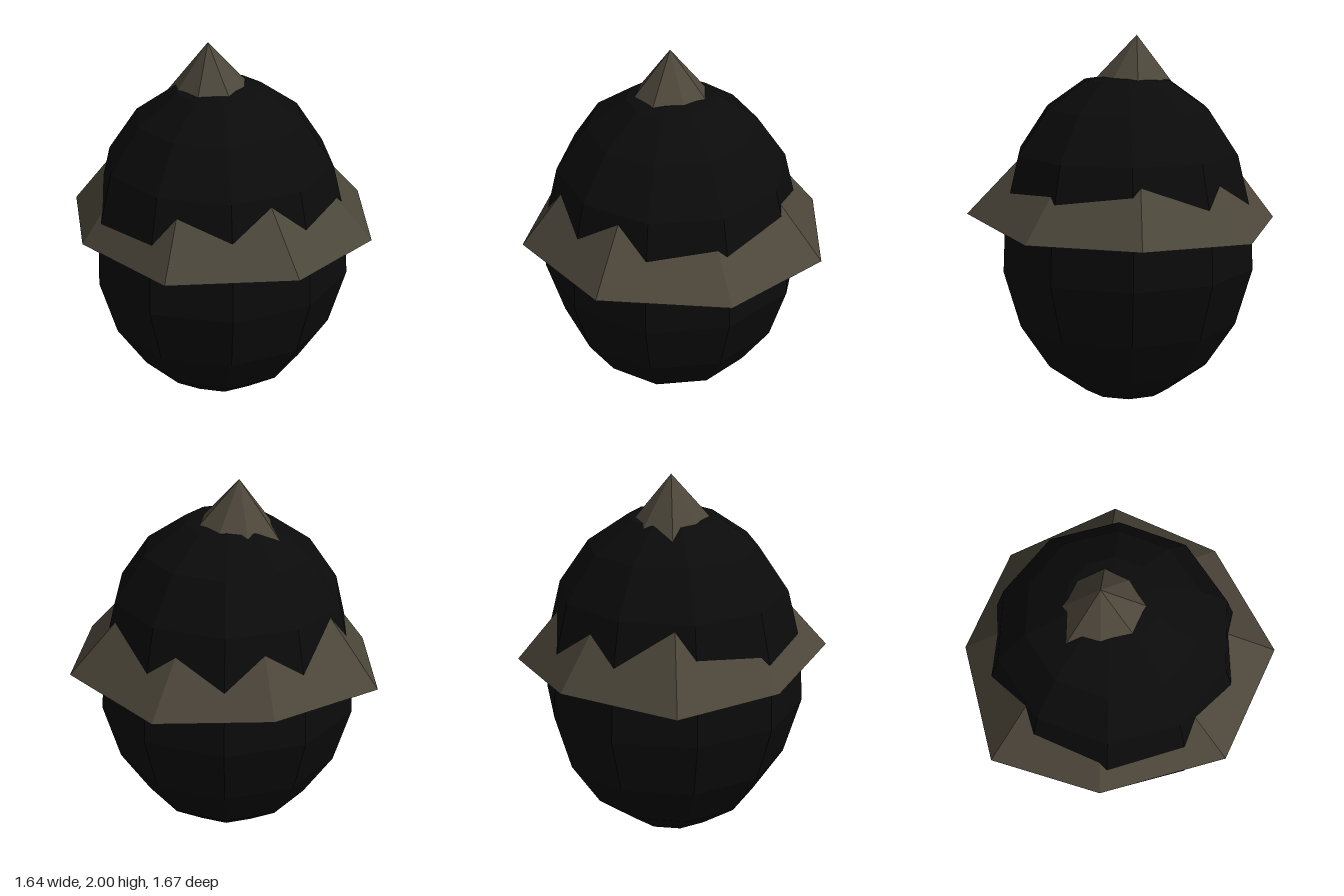
import * as THREE from 'three';

export function createModel() {
  const group = new THREE.Group();
  const black = new THREE.MeshStandardMaterial({ color: 0x0b0b0b, flatShading: true });
  black.name = 'black';
  const strawBrown = new THREE.MeshStandardMaterial({ color: 0x4c463a, flatShading: true, side: THREE.DoubleSide });
  strawBrown.name = 'straw brown';

  // Egg-shaped head, ten sides, profile from bottom to top
  const profile = [
    [0, 0], [0.235, 0.05], [0.45, 0.21], [0.61, 0.455], [0.7, 0.765],
    [0.685, 1.075], [0.61, 1.38], [0.45, 1.615], [0.235, 1.765], [0, 1.8],
  ].map(([r, y]) => new THREE.Vector2(r, y));
  const head = new THREE.Mesh(new THREE.LatheGeometry(profile, 10, Math.PI / 2), black);
  head.name = 'head';
  head.position.set(-0.05, 0, -0.035);
  group.add(head);

  // Open conical hat: a fan of eight faces from an off-centre tip to an uneven rim
  const tip = [-0.09, 2, -0.09];
  const rim = [
    [-0.05, 1.01, -0.84], [0.52, 0.98, -0.64], [0.82, 1.01, -0.07], [0.59, 1.0, 0.5],
    [0, 1.05, 0.83], [-0.61, 1.03, 0.58], [-0.82, 1.0, -0.07], [-0.67, 1.0, -0.65],
  ];
  const corners = rim.flatMap((p, i) => [...tip, ...rim[(i + 1) % rim.length], ...p]);
  const hatGeometry = new THREE.BufferGeometry();
  hatGeometry.setAttribute('position', new THREE.Float32BufferAttribute(corners, 3));
  hatGeometry.computeVertexNormals();
  const hat = new THREE.Mesh(hatGeometry, strawBrown);
  hat.name = 'conicalHat';
  group.add(hat);

  return group;
}
